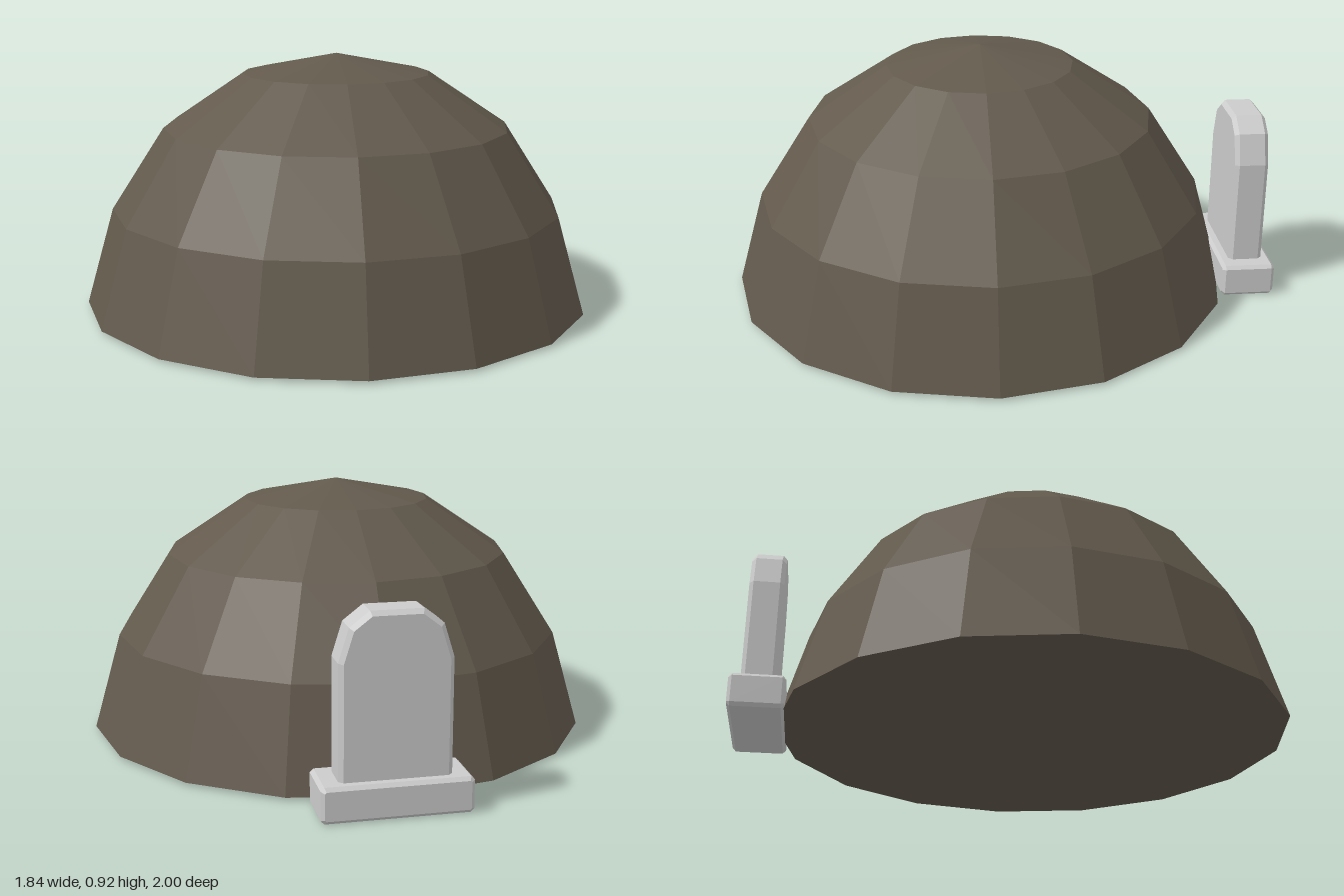
import * as THREE from 'three';

const earth = new THREE.MeshStandardMaterial({ color: 0x635a4d, flatShading: true });
const stone = new THREE.MeshStandardMaterial({ color: 0xcccccc, flatShading: true });

// Outline extruded along z with chamfered edges; outline and depth are the outer sizes
function chamferedSlab(name, outline, depth, bevel) {
  const shape = new THREE.Shape(outline.map(([x, y]) => new THREE.Vector2(x, y)));
  const geometry = new THREE.ExtrudeGeometry(shape, {
    depth: depth - 2 * bevel, bevelEnabled: true, bevelThickness: bevel,
    bevelSize: bevel, bevelOffset: -bevel, bevelSegments: 1,
  });
  geometry.translate(0, 0, bevel - depth / 2);
  const mesh = new THREE.Mesh(geometry, stone);
  mesh.name = name;
  return mesh;
}

// Mirrors the right half of an outline, listed bottom to top
function mirrored(half) {
  return [...half, ...half.map(([x, y]) => [-x, y]).reverse()];
}

export function createModel() {
  const model = new THREE.Group();
  model.name = 'burialMound';

  // Faceted earth dome, closed underneath
  const profile = [[0, 0.01], [0.92, 0.01], [0.82, 0.36], [0.63, 0.655], [0.34, 0.85], [0, 0.92]];
  const mound = new THREE.Mesh(
    new THREE.LatheGeometry(profile.map(([r, y]) => new THREE.Vector2(r, y)), 16), earth);
  mound.name = 'mound';
  mound.position.z = 0.08;
  model.add(mound);

  // Headstone behind the mound: plinth and arched slab
  const headstone = new THREE.Group();
  headstone.name = 'headstone';
  headstone.position.set(0.033, 0, -0.9);
  const c = 0.012;
  headstone.add(
    chamferedSlab('plinth', mirrored([[0.247 - c, 0], [0.247, c], [0.247, 0.12 - c], [0.247 - c, 0.12]]), 0.195, c),
    chamferedSlab('slab', mirrored([[0.184, 0.08], [0.184, 0.5], [0.15, 0.61], [0.085, 0.66]]), 0.124, 0.015),
  );
  model.add(headstone);

  return model;
}
